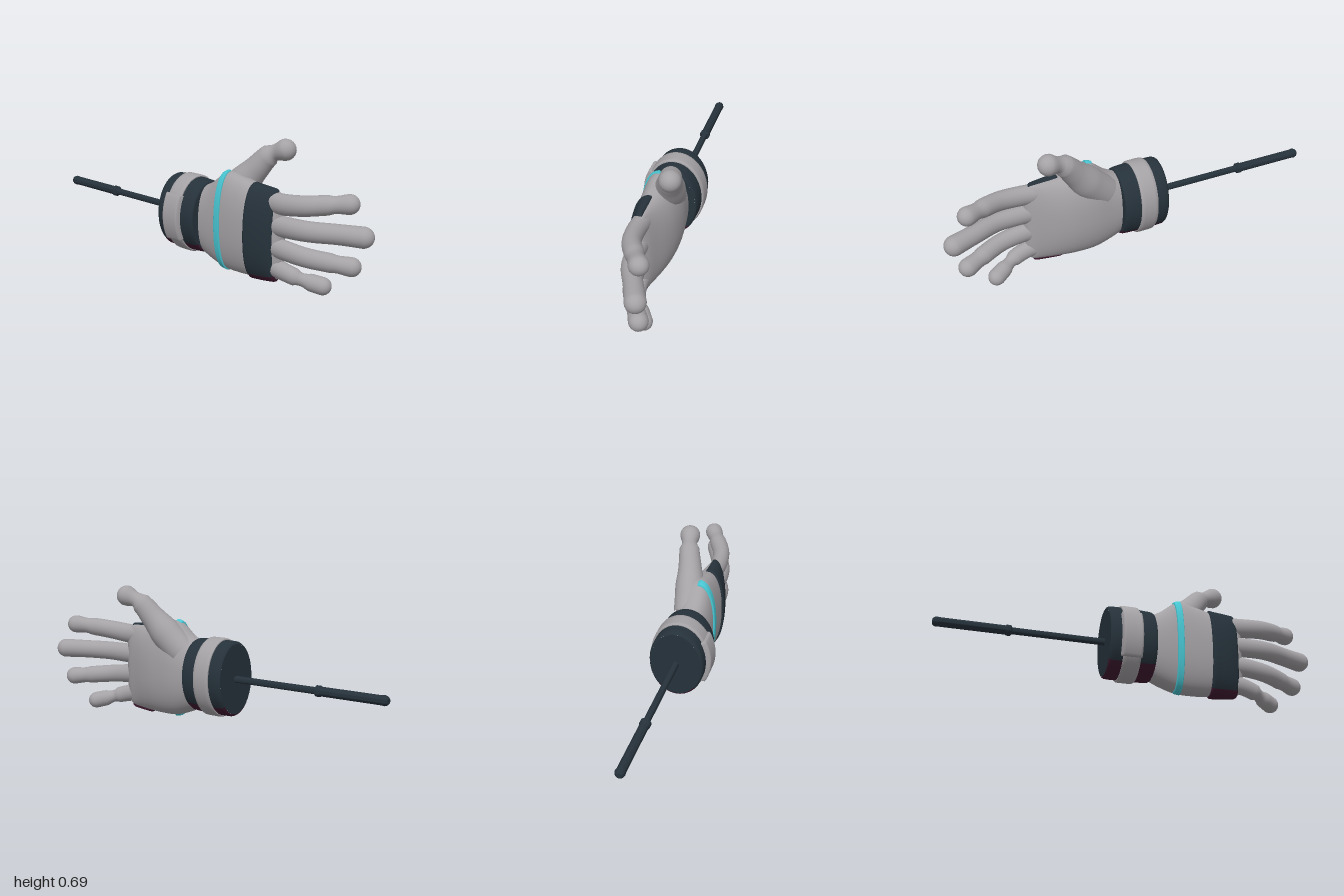
import * as THREE from 'three';
import { mergeVertices, toCreasedNormals } from 'three/addons/utils/BufferGeometryUtils.js';

const mat = (name, color) => new THREE.MeshStandardMaterial({ name, color });
const rad = THREE.MathUtils.degToRad;

// Grid surface from a rule (u, v in 0..1) -> [x, y, z]
function surface(rule, nu, nv, crease) {
  const pos = [], idx = [];
  for (let i = 0; i <= nu; i++) for (let j = 0; j <= nv; j++) pos.push(...rule(i / nu, j / nv));
  for (let i = 0; i < nu; i++) for (let j = 0; j < nv; j++) {
    const a = i * (nv + 1) + j, b = a + nv + 1;
    idx.push(a, b, b + 1, a, b + 1, a + 1);
  }
  let geo = new THREE.BufferGeometry();
  geo.setAttribute('position', new THREE.Float32BufferAttribute(pos, 3));
  geo.setIndex(idx);
  geo = mergeVertices(geo, 1e-5);
  geo.computeVertexNormals();
  return crease ? toCreasedNormals(geo, crease) : geo;
}

// Palm cross-sections along x: x, lowest y, highest y, front z, back z
const SECTIONS = [
  [0.05, 0.10, 0.42, 0.088, -0.09],
  [0.13, 0.062, 0.46, 0.094, -0.10],
  [0.22, 0.034, 0.525, 0.097, -0.108],
  [0.32, 0.030, 0.512, 0.097, -0.10],
  [0.40, 0.034, 0.492, 0.093, -0.08],
  [0.48, 0.040, 0.485, 0.080, -0.05],
  [0.54, 0.050, 0.478, 0.058, -0.025],
  [0.565, 0.075, 0.46, 0.040, -0.005],
];

function palmPoint(x, angle, lift = 0) {
  let k = 0;
  while (k < SECTIONS.length - 2 && x > SECTIONS[k + 1][0]) k++;
  const a = SECTIONS[k], b = SECTIONS[k + 1];
  const p = SECTIONS[Math.max(k - 1, 0)], n = SECTIONS[Math.min(k + 2, SECTIONS.length - 1)];
  const t = (x - a[0]) / (b[0] - a[0]), w = b[0] - a[0];
  // Hermite blend between neighbouring sections
  const [, lo, hi, zf, zb] = a.map((v, i) => {
    const ma = (b[i] - p[i]) / (b[0] - p[0]) * w, mb = (n[i] - a[i]) / (n[0] - a[0]) * w;
    const t2 = t * t, t3 = t2 * t;
    return (2 * t3 - 3 * t2 + 1) * v + (t3 - 2 * t2 + t) * ma + (3 * t2 - 2 * t3) * b[i] + (t3 - t2) * mb;
  });
  const c = Math.cos(angle), s = Math.sin(angle), zm = 0.01;
  const y = (lo + hi) / 2 + ((hi - lo) / 2 + lift) * Math.sign(s) * Math.abs(s) ** 0.9;
  const z = zm + Math.sign(c) * Math.abs(c) ** 0.85 * (c > 0 ? zf - zm + lift : zm - zb + lift);
  return [x, y, z];
}

// Height of a raised patch, rounded down to nothing at its borders
const swell = (d, edge) => Math.sqrt(1 - (1 - Math.min(1, Math.max(0, d) / edge)) ** 2);

// Raised plate on the palm, from x0 to x1 and a0 to a1, built for the angles v0 to v1
function palmPlate(x0, x1, a0, a1, height, edge, v0 = a0, v1 = a1) {
  return surface((u, v) => {
    const x = x0 + (x1 - x0) * u, a = v0 + (v1 - v0) * v;
    const d = Math.min(x - x0, x1 - x, (a - a0) * 0.0035, (a1 - a) * 0.0035);
    return palmPoint(x, rad(a), -0.004 + (height + 0.004) * swell(d, edge));
  }, 28, 40);
}

// Tapered round-ended limb through [x, y, z, radius] points; flat squashes z at the base
function limb(points, flat) {
  const curve = new THREE.CatmullRomCurve3(points.map(p => new THREE.Vector3(p[0], p[1], p[2])));
  const n = 24, cap = 8, seg = 24, frames = curve.computeFrenetFrames(n, false);
  const radii = new THREE.CatmullRomCurve3(points.map(p => new THREE.Vector3(p[3], 0, 0)));
  return surface((u, v) => {
    const i = Math.round(u * (n + cap)), k = Math.min(i, n);
    const bend = Math.max(0, i - n) / cap * Math.PI / 2, t = k / n;
    const r = radii.getPoint(curve.getUtoTmapping(t)).x, a = -v * Math.PI * 2;
    const off = frames.normals[k].clone().multiplyScalar(Math.cos(a) * r * Math.cos(bend))
      .addScaledVector(frames.binormals[k], Math.sin(a) * r * Math.cos(bend));
    off.z *= flat + (1 - flat) * t;
    off.addScaledVector(frames.tangents[k], r * Math.sin(bend));
    return off.add(curve.getPointAt(t)).toArray();
  }, n + cap, seg);
}

// Elliptical ring around the x axis from a profile of [x, scale]
const AXIS_Y = 0.265;
function ellipseRing(profile, ry, rz, from = 0, to = 360) {
  const n = profile.length - 1;
  return surface((u, v) => {
    const [x, s] = profile[Math.round(u * n)], a = rad(from + (to - from) * v);
    return [x, AXIS_Y + ry * s * Math.sin(a), rz * s * Math.cos(a)];
  }, n, Math.ceil((to - from) / 6), 0.7);
}

export function createModel() {
  const group = new THREE.Group();
  const grey = mat('warm grey', 0xa5a2a5);
  const dark = mat('dark slate', 0x26323b);
  const cyan = mat('cyan', 0x48c6d2);
  const maroon = mat('maroon', 0x401a30);
  const add = (name, geo, material) => {
    const m = new THREE.Mesh(geo, material);
    m.name = name;
    group.add(m);
    return m;
  };

  // Palm with closed ends
  const x0 = SECTIONS[0][0], x1 = SECTIONS[SECTIONS.length - 1][0];
  add('palm', surface((u, v) => {
    const a = v * Math.PI * 2;
    if (u === 1) return [x1 + 0.008, 0.267, 0.018];
    return palmPoint(x0 + (x1 - x0) * u / 0.975, a);
  }, 40, 56), grey);

  // Fingers
  const fingers = {
    indexFinger: [[0.46, 0.425, 0.012, 0.052], [0.58, 0.428, 0.022, 0.051], [0.69, 0.440, 0.008, 0.049], [0.79, 0.455, -0.038, 0.047], [0.873, 0.466, -0.082, 0.047]],
    middleFinger: [[0.46, 0.320, 0.014, 0.052], [0.58, 0.320, 0.020, 0.051], [0.71, 0.323, 0.008, 0.049], [0.84, 0.326, -0.045, 0.048], [0.950, 0.326, -0.088, 0.050]],
    ringFinger: [[0.46, 0.215, 0.014, 0.051], [0.58, 0.208, 0.022, 0.049], [0.70, 0.196, 0.008, 0.047], [0.81, 0.184, -0.040, 0.046], [0.895, 0.175, -0.082, 0.046]],
    littleFinger: [[0.46, 0.118, 0.012, 0.048], [0.56, 0.104, 0.018, 0.045], [0.64, 0.084, 0.003, 0.042], [0.70, 0.066, -0.030, 0.042], [0.752, 0.052, -0.060, 0.043]],
  };
  for (const [name, points] of Object.entries(fingers)) add(name, limb(points, 0.8), grey);

  // Thumb and the fleshy mound it grows from
  add('thumb', limb([
    [0.16, 0.37, -0.030, 0.080], [0.25, 0.455, -0.045, 0.082], [0.325, 0.540, -0.066, 0.064],
    [0.395, 0.618, -0.090, 0.053], [0.471, 0.650, -0.108, 0.053],
  ], 0.9), grey);

  // Knuckle pad, its lower end in the second colour
  add('knucklePad', palmPlate(0.385, 0.54, -100, 95, 0.011, 0.018, -58, 95), dark);
  add('knucklePadLowerEnd', palmPlate(0.385, 0.54, -100, 95, 0.011, 0.018, -100, -58), maroon);

  // Stripe across the back of the hand
  add('stripe', palmPlate(0.2, 0.236, -98, 92, 0.008, 0.004), cyan);

  // Wrist cuff: end caps, side and underside panel
  const cuff = [[-0.155, 0.93], [-0.151, 0.97], [-0.142, 0.995], [-0.12, 1], [0.0, 1], [0.055, 0.985], [0.074, 0.975], [0.083, 0.95], [0.086, 0.91]];
  add('cuff', ellipseRing(cuff, 0.19, 0.141, -45, 225), dark);
  add('cuffUnderside', ellipseRing(cuff, 0.19, 0.141, -135, -45), maroon);
  add('cuffRearCap', ellipseRing([[-0.155, 0], [-0.155, 0.93]], 0.19, 0.141), dark);
  add('cuffFrontCap', ellipseRing([[0.086, 0.91], [0.086, 0]], 0.19, 0.141), dark);

  // Strap round the cuff with a thicker clasp on the front
  const strap = [[-0.088, 0.92], [-0.088, 0.97], [-0.082, 0.995], [-0.07, 1], [-0.015, 1], [-0.004, 0.995], [0.002, 0.97], [0.002, 0.92]];
  add('strap', ellipseRing(strap, 0.2, 0.152), grey);
  add('clasp', surface((u, v) => {
    const x = -0.102 + 0.112 * u, a = rad(-38 + 76 * v);
    const h = 0.135 + 0.03 * swell(Math.min(u * 0.11, (1 - u) * 0.11, v * 0.25, (1 - v) * 0.25), 0.014);
    return [x, AXIS_Y + (h + 0.046) * Math.sin(a), h * Math.cos(a)];
  }, 24, 30), grey);

  // Rod and grip along the wrist axis
  const turned = (name, profile) => {
    const geo = new THREE.LatheGeometry(profile.map(([x, r]) => new THREE.Vector2(r, x)), 24);
    const m = add(name, toCreasedNormals(geo, 0.7), dark);
    m.rotation.z = -Math.PI / 2;
    m.position.y = AXIS_Y;
  };
  turned('rod', [[-0.65, 0.017], [-0.15, 0.017]]);
  turned('grip', [[-1, 0], [-1, 0.014], [-0.993, 0.021], [-0.98, 0.025], [-0.965, 0.023], [-0.65, 0.023], [-0.645, 0.027], [-0.625, 0.027], [-0.618, 0.017]]);

  return group;
}
